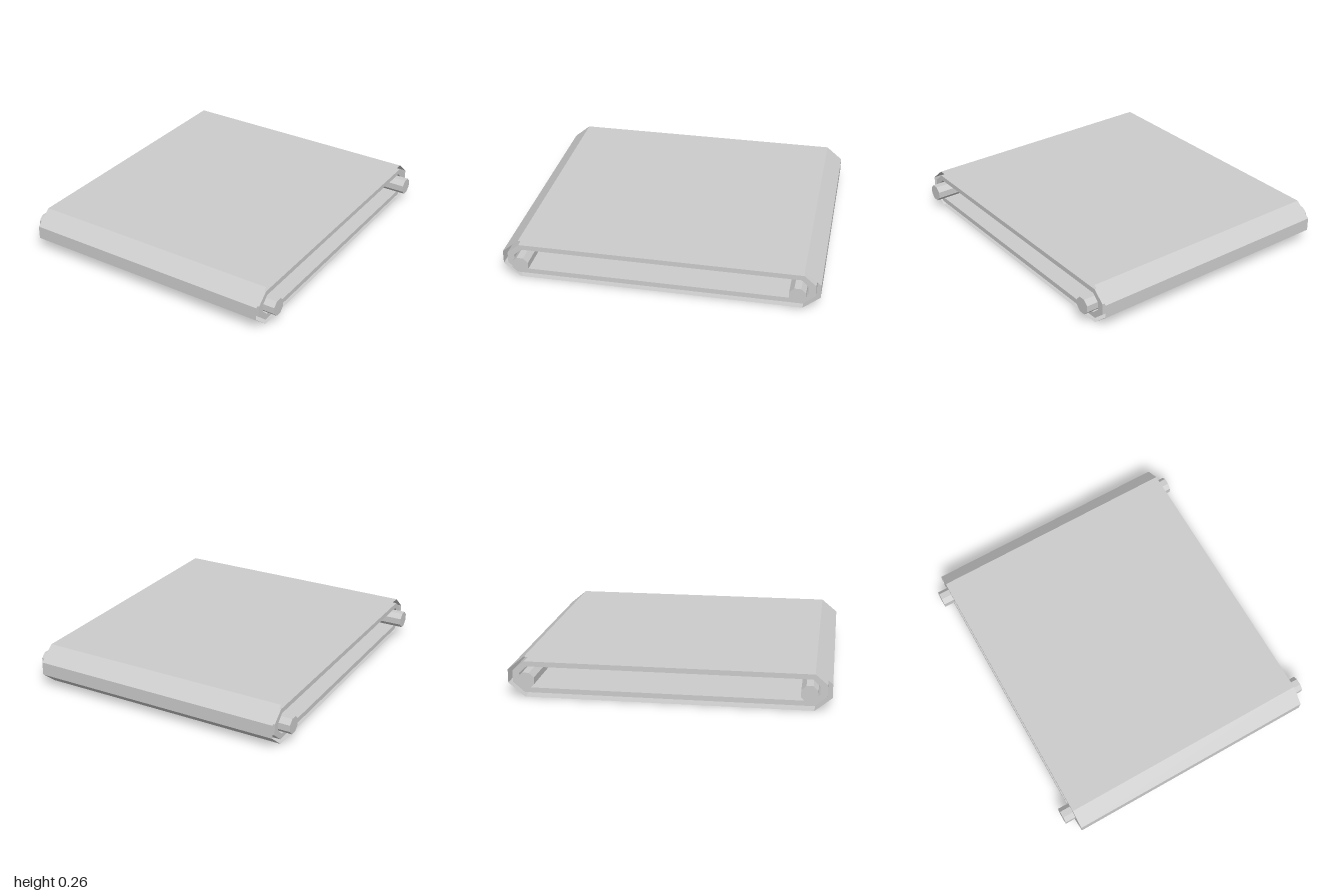
import * as THREE from 'three';

const HALF_WIDTH = 0.83;
const MID_Y = 0.13;

// Chamfered loop in (z, y): flat half-length, end, half-height, end half-height
const loop = (flat, end, h, endH) => [
  [-flat, -h], [flat, -h], [end, -endH], [end, endH],
  [flat, h], [-flat, h], [-end, endH], [-end, -endH],
].map(([z, y]) => new THREE.Vector2(z, y + MID_Y));

// Thin open sheet swept across the width along a closed loop
function sheetGeometry(points) {
  const pos = [];
  points.forEach((a, i) => {
    const b = points[(i + 1) % points.length];
    const w = HALF_WIDTH;
    pos.push(-w, a.y, a.x, w, b.y, b.x, -w, b.y, b.x);
    pos.push(-w, a.y, a.x, w, a.y, a.x, w, b.y, b.x);
  });
  const g = new THREE.BufferGeometry();
  g.setAttribute('position', new THREE.Float32BufferAttribute(pos, 3));
  g.computeVertexNormals();
  return g;
}

export function createModel() {
  const group = new THREE.Group();
  const material = new THREE.MeshStandardMaterial({
    color: 0xcccccc, flatShading: true, side: THREE.DoubleSide,
  });
  const add = (name, geometry) => {
    const mesh = new THREE.Mesh(geometry, material);
    mesh.name = name;
    group.add(mesh);
    return mesh;
  };

  // Outer belt skin, open at both sides
  add('beltSkin', sheetGeometry(loop(0.895, 1, 0.13, 0.043)));

  // Inner belt, a hollow band just under the skin
  const band = new THREE.Shape(loop(0.895, 0.97, 0.1, 0.036));
  band.holes.push(new THREE.Path(loop(0.88, 0.927, 0.068, 0.024)));
  const bandGeometry = new THREE.ExtrudeGeometry(band, {
    depth: HALF_WIDTH * 2, bevelEnabled: false,
  });
  bandGeometry.translate(0, 0, -HALF_WIDTH).rotateY(Math.PI / 2);
  add('innerBelt', bandGeometry);

  // Eight-sided rollers running through both ends
  for (const [name, z] of [['frontRoller', 0.865], ['backRoller', -0.865]]) {
    const roller = new THREE.CylinderGeometry(0.055, 0.055, 1.8, 8);
    roller.rotateY(Math.PI / 8).rotateZ(Math.PI / 2);
    add(name, roller).position.set(0, MID_Y, z);
  }
  return group;
}
